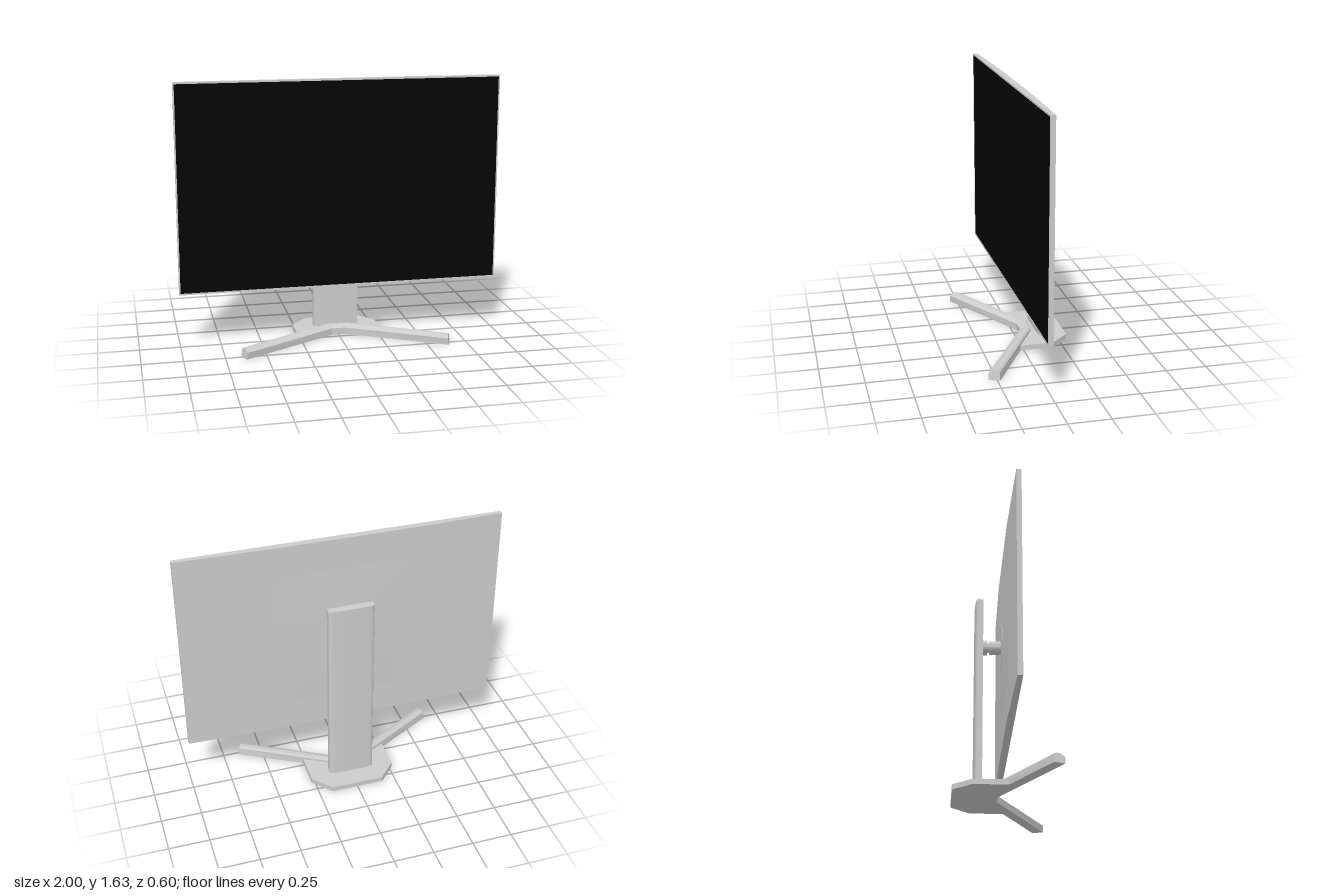
import * as THREE from 'three';
import { toCreasedNormals } from 'three/addons/utils/BufferGeometryUtils.js';

const grey = new THREE.MeshStandardMaterial({ color: 0xcccccc });
const black = new THREE.MeshStandardMaterial({ color: 0x050505 });

export function createModel() {
  const model = new THREE.Group();
  const add = (name, geometry, x = 0, y = 0, z = 0, material = grey, parent = model) => {
    const mesh = new THREE.Mesh(geometry, material);
    mesh.name = name;
    mesh.position.set(x, y, z);
    parent.add(mesh);
  };
  const polygon = (points, Kind = THREE.Shape) => new Kind(points.map(q => new THREE.Vector2(...q)));
  const mirrored = half => [...half, ...half.map(([x, z]) => [-x, z]).reverse()];
  // Upright prism from a plan outline of (x, z) points
  const prism = (shape, height) =>
    new THREE.ExtrudeGeometry(shape, { depth: height, bevelEnabled: false, curveSegments: 16 })
      .rotateX(Math.PI / 2).translate(0, height, 0);

  // Display: frame, dark panel and a back cover that thins toward the sides
  const display = new THREE.Group();
  display.name = 'display';
  display.position.y = 0.99;
  model.add(display);

  const W = 1, H = 0.645;
  const rect = (w, h) => [[-w, -h], [w, -h], [w, h], [-w, h]];
  const frame = polygon(rect(W, H));
  frame.holes.push(polygon(rect(W - 0.008, H - 0.01), THREE.Path));
  add('displayFrame', new THREE.ExtrudeGeometry(frame, { depth: 0.03, bevelEnabled: false }),
    0, 0, 0.013, grey, display);
  add('screen', new THREE.BoxGeometry(2 * W - 0.016, 2 * H - 0.02, 0.028), 0, 0, 0.027, black, display);
  add('backCover', prism(polygon(mirrored([[0.4, -0.001], [W, 0.013]])), 2 * H), 0, -H, 0, grey, display);

  // Shallow swelling in the middle of the back
  const bulge = new THREE.PlaneGeometry(1, 0.9, 16, 16).rotateY(Math.PI);
  const p = bulge.attributes.position;
  for (let i = 0; i < p.count; i++) {
    const u = p.getX(i) / 0.5, v = p.getY(i) / 0.45;
    p.setZ(i, -0.0015 - 0.009 * (1 - u * u) * (1 - v * v));
  }
  bulge.computeVertexNormals();
  add('backBulge', bulge, 0, 0, 0, grey, display);

  // Swivel mount, turned about the z axis
  add('mountDisc', new THREE.CylinderGeometry(0.14, 0.14, 0.01, 48).rotateX(Math.PI / 2), 0, 1, -0.007);
  const mountProfile = [[0, 0], [0.039, 0], [0.039, 0.01], [0.043, 0.014], [0.043, 0.072],
    [0.039, 0.078], [0.032, 0.08], [0.032, 0.09], [0.048, 0.092], [0.048, 0.124], [0, 0.124]];
  const mount = new THREE.LatheGeometry(
    mountProfile.map(([r, d]) => new THREE.Vector2(r, d)), 32).rotateX(-Math.PI / 2);
  add('swivelMount', toCreasedNormals(mount, 0.5), 0, 0.99, -0.005);

  // Column with a softly curved front and rounded back edges
  const column = new THREE.Shape();
  column.moveTo(-0.143, -0.128);
  column.quadraticCurveTo(0, -0.122, 0.143, -0.128);
  column.lineTo(0.143, -0.16);
  column.bezierCurveTo(0.135, -0.174, 0.11, -0.175, 0, -0.177);
  column.bezierCurveTo(-0.11, -0.175, -0.135, -0.174, -0.143, -0.16);
  column.closePath();
  add('column', toCreasedNormals(prism(column, 1.226), 0.6), 0, 0.03, 0);

  // Sockets on the column's left edge
  [[0.25, 0.04], [0.19, 0.038], [0.125, 0.024]].forEach(([y, h], i) => {
    add('socketRim' + (i + 1), new THREE.BoxGeometry(0.004, h, 0.016), 0.1418, y, -0.148);
    add('socketSlot' + (i + 1), new THREE.BoxGeometry(0.004, h - 0.012, 0.007), 0.1426, y, -0.148);
  });

  // Base plate, its front edge hidden under the legs
  const plate = polygon(mirrored(
    [[0.165, -0.302], [0.27, -0.185], [0.27, 0.02], [0.16, 0.0], [0.05, -0.05]]));
  add('basePlate', prism(plate, 0.032));

  // Legs: one V-shaped bar, a chamfered section carried through four stations
  // section: t = 0 at the back edge to 1 at the front edge, then height
  const section = [[0, 0], [0, 0.048], [0.15, 0.058], [0.5, 0.058], [1, 0.042], [1, 0]];
  const tip = [0.654, 0.235, 0.629, 0.298], bend = [0.06, -0.098, 0.044, -0.032];
  const stations = [[-1, tip], [-1, bend], [1, bend], [1, tip]].map(([side, [x0, z0, x1, z1]]) =>
    section.map(([t, y]) => {
      // top edge of each tip leans slightly inward
      const lean = x0 > 0.5 ? 0.15 * y : 0;
      return [side * (x0 + (x1 - x0) * t - lean), y, z0 + (z1 - z0) * t];
    }));
  const verts = [];
  const n = section.length;
  const tri = (a, b, c) => verts.push(...a, ...b, ...c);
  for (let s = 0; s < 3; s++) {
    for (let i = 0; i < n; i++) {
      const j = (i + 1) % n, A = stations[s], B = stations[s + 1];
      tri(A[i], A[j], B[j]);
      tri(A[i], B[j], B[i]);
    }
  }
  for (let i = 1; i < n - 1; i++) {
    tri(stations[0][0], stations[0][i + 1], stations[0][i]);
    tri(stations[3][0], stations[3][i], stations[3][i + 1]);
  }
  const legs = new THREE.BufferGeometry();
  legs.setAttribute('position', new THREE.Float32BufferAttribute(verts, 3));
  legs.computeVertexNormals();
  add('legs', legs);

  return model;
}
